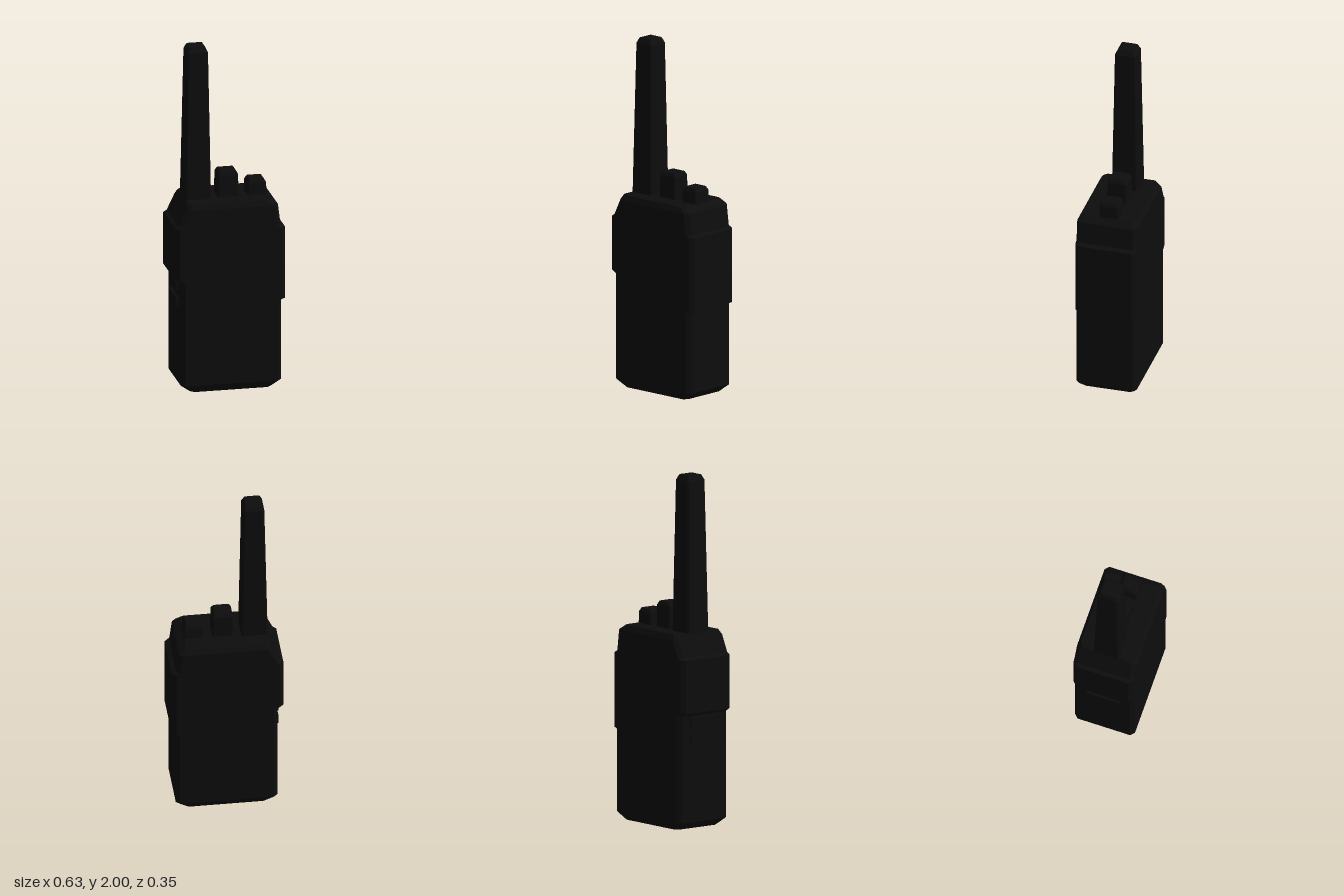
import * as THREE from 'three';

const black = new THREE.MeshStandardMaterial({ color: 0x0d0d0d, flatShading: true });
black.name = 'black plastic';

// Chamfered rectangle at height y: x range, z half depth, corner cut
function ring([y, x0, x1, hz, c]) {
  return [
    [x1, y, -hz + c], [x1, y, hz - c], [x1 - c, y, hz], [x0 + c, y, hz],
    [x0, y, hz - c], [x0, y, -hz + c], [x0 + c, y, -hz], [x1 - c, y, -hz],
  ];
}

// Stacks rings from bottom to top and caps both ends
function loft(name, sections) {
  const rings = sections.map(ring);
  const pos = [];
  const tri = (a, b, c) => pos.push(...a, ...b, ...c);
  for (let k = 0; k < rings.length - 1; k++) {
    const p = rings[k], q = rings[k + 1];
    for (let i = 0; i < 8; i++) {
      const j = (i + 1) % 8;
      tri(p[i], q[i], p[j]);
      tri(p[j], q[i], q[j]);
    }
  }
  const bottom = rings[0], top = rings[rings.length - 1];
  for (let i = 1; i < 7; i++) {
    tri(bottom[0], bottom[i], bottom[i + 1]);
    tri(top[0], top[i + 1], top[i]);
  }
  const geometry = new THREE.BufferGeometry();
  geometry.setAttribute('position', new THREE.Float32BufferAttribute(pos, 3));
  geometry.computeVertexNormals();
  const mesh = new THREE.Mesh(geometry, black);
  mesh.name = name;
  return mesh;
}

// Square knob with a bevelled top
function knob(name, x, half, top) {
  return loft(name, [
    [1.09, x - half, x + half, 0.057, 0.006],
    [top - 0.02, x - half + 0.003, x + half - 0.003, 0.055, 0.006],
    [top, x - half + 0.014, x + half - 0.014, 0.044, 0.004],
  ]);
}

export function createModel() {
  const model = new THREE.Group();
  model.name = 'handheldRadio';

  // Body with raised side grips
  const c = 0.022, d = 0.177;
  model.add(loft('body', [
    [0, -0.225, 0.24, 0.15, c],
    [0.045, -0.283, 0.293, d, c],
    [0.513, -0.283, 0.293, d, c],
    [0.522, -0.283, 0.315, d, c],
    [0.652, -0.283, 0.315, d, c],
    [0.67, -0.315, 0.315, d, c],
    [0.945, -0.315, 0.315, d, c],
    [0.957, -0.315, 0.291, d, c],
    [0.974, -0.315, 0.289, d, c],
    [0.986, -0.295, 0.287, d, c],
    [1.08, -0.25, 0.275, d, c],
    [1.11, -0.236, 0.232, 0.16, c],
  ]));

  // Tapered antenna
  model.add(loft('antenna', [
    [1.09, -0.239, -0.089, 0.075, 0.008],
    [1.97, -0.221, -0.104, 0.061, 0.007],
    [2, -0.207, -0.118, 0.047, 0.005],
  ]));

  // Top controls
  model.add(knob('volumeKnob', 0.013, 0.06, 1.257));
  model.add(knob('channelKnob', 0.179, 0.055, 1.197));

  // Side buttons
  for (const y of [0.525, 0.615]) {
    const button = new THREE.Mesh(new THREE.BoxGeometry(0.03, 0.05, 0.2), black);
    button.name = 'sideButton';
    button.position.set(-0.281, y, 0);
    model.add(button);
  }
  return model;
}
